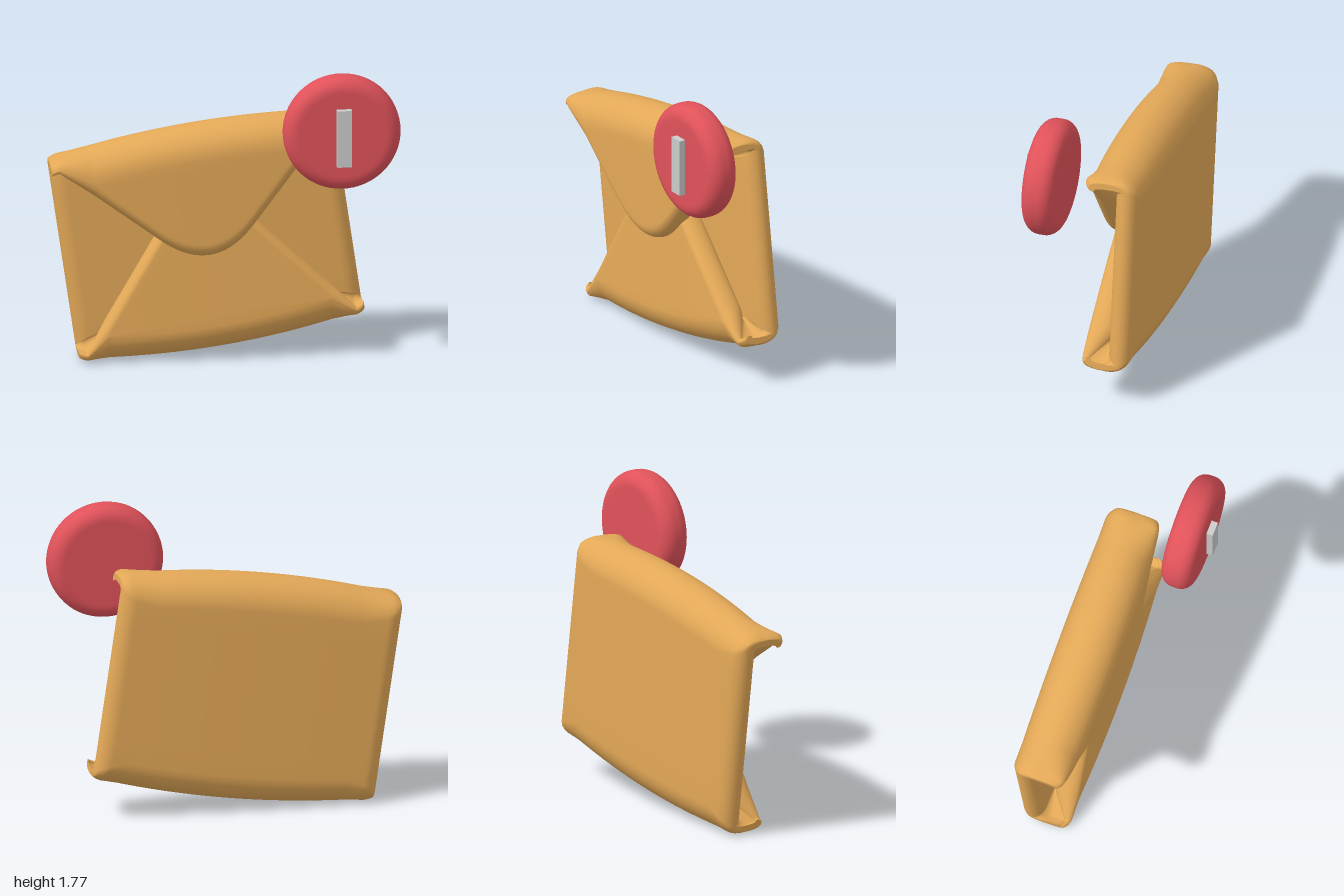
import * as THREE from 'three';

const HALF_W = 0.835, HALF_H = 0.61, Z_BACK = -0.25;

// Flap outline: two straight edges joined by a rounded tip
function flapEdge(u, apex, slope, round) {
  const a = Math.abs(u);
  return a > round ? apex + slope * a : apex + slope * (a * a / (2 * round) + round / 2);
}

// Half of the folded sheet at one width position, from flap tip over the fold to the back panel.
// Each entry is a point on the sheet's middle line with its normal and half thickness.
function foldedHalf({ top, edge, zOut, lean, flapT, backT }) {
  const pts = [];
  const add = (z, v, nz, nv, t) => {
    const l = Math.hypot(nz, nv);
    pts.push({ z, v, nz: nz / l, nv: nv / l, t });
  };
  const H = Math.max(0.06, top - edge);
  const f = Math.min(flapT, H / 3.4);
  const zF = zOut - f, zM = (zF + Z_BACK) / 2, rz = (zF - Z_BACK) / 2;
  const rF = 1.25 * f, rB = Math.max(0.03, 1.25 * backT);
  const apex = top - f, vFold = apex - rF, v0 = top - H + f;
  const zAt = v => zF - lean * (vFold - v);
  // rounded flap tip
  for (let i = 0; i < 7; i++) {
    const p = 0.12 + (Math.PI / 2 - 0.12) * i / 7;
    const v = v0 - f * Math.cos(p);
    add(zAt(v), v, 1, 0, f * Math.sin(p));
  }
  // flat of the flap
  for (let i = 0; i < 8; i++) {
    const v = v0 + (vFold - v0) * i / 8;
    add(zAt(v), v, 1, 0, f);
  }
  // fold: front quarter, then back quarter
  for (let i = 0; i <= 16; i++) {
    const th = Math.PI * i / 16, front = i <= 8;
    const r = front ? rF : rB;
    const t = front ? f : f + (backT - f) * (i - 8) / 8;
    add(zM + rz * Math.cos(th), apex - r + r * Math.sin(th), Math.cos(th) / rz, Math.sin(th) / r, t);
  }
  return pts;
}

// Closed cross-section of the whole sheet at width position u
function section(u) {
  const q = (u / HALF_W) ** 2;
  const e = Math.max(0, (Math.abs(u) - (HALF_W - 0.085)) / 0.085);
  const c = Math.sqrt(Math.max(0, 1 - e * e));
  const top = HALF_H + 0.065 * (1 - q) - 0.015 * (1 - c);
  const backT = Math.max(0.008, (0.08 - 0.012 * q) * c);
  const inset = 0.03 * q + 0.035 * (1 - c);
  const upper = foldedHalf({
    top, backT, flapT: 0.08, lean: -0.02, zOut: 0.032 - inset,
    edge: flapEdge(u, -0.22, 0.98, 0.271),
  });
  const lower = foldedHalf({
    top, backT, flapT: 0.072, lean: 0.075, zOut: 0.002 - inset,
    edge: flapEdge(u, -0.42, 1.24, 0.28),
  }).map(p => ({ ...p, v: -p.v, nv: -p.nv })).reverse();
  const a = upper[upper.length - 1], b = lower[0], mid = [];
  for (let i = 1; i < 8; i++) mid.push({ ...a, v: a.v + (b.v - a.v) * i / 8 });
  const line = [...upper, ...mid, ...lower];
  const offset = s => line.map(p => [u, p.v + s * p.nv * p.t, p.z + s * p.nz * p.t]);
  return [...offset(1), ...offset(-1).reverse()];
}

// Sheet folded into an envelope: cross-sections joined along the width
function envelopeGeometry() {
  const steps = 110, pos = [], idx = [];
  let L = 0;
  for (let j = 0; j <= steps; j++) {
    const ring = section(HALF_W * Math.sin(Math.PI * (j / steps - 0.5)));
    L = ring.length;
    ring.forEach(p => pos.push(...p));
  }
  for (let j = 0; j < steps; j++) {
    for (let i = 0; i < L; i++) {
      const n = (i + 1) % L;
      const a = j * L + i, b = j * L + n, c = a + L, d = b + L;
      idx.push(a, c, d, a, d, b);
    }
  }
  // thin end strips
  const last = steps * L;
  for (let i = 0; i < L / 2 - 1; i++) {
    const o = i, o2 = i + 1, p = L - 1 - i, p2 = L - 2 - i;
    idx.push(o, o2, p, o2, p2, p);
    idx.push(last + o, last + p, last + o2, last + o2, last + p, last + p2);
  }
  const g = new THREE.BufferGeometry();
  g.setAttribute('position', new THREE.Float32BufferAttribute(pos, 3));
  g.setIndex(idx);
  g.computeVertexNormals();
  return g;
}

// Round disc with soft rims, facing +z
function badgeGeometry(R, depth, rim) {
  const pts = [new THREE.Vector2(0, -depth / 2), new THREE.Vector2(R - rim - 0.01, -depth / 2)];
  for (const s of [-1, 1]) {
    for (let i = 0; i <= 8; i++) {
      const a = (s < 0 ? i - 8 : i) / 8 * Math.PI / 2;
      pts.push(new THREE.Vector2(R - rim + rim * Math.cos(a), s * (depth / 2 - rim) + rim * Math.sin(a)));
    }
  }
  pts.push(new THREE.Vector2(R - rim - 0.01, depth / 2), new THREE.Vector2(0, depth / 2));
  return new THREE.LatheGeometry(pts, 64).rotateX(Math.PI / 2);
}

export function createModel() {
  const model = new THREE.Group();
  model.name = 'envelopeWithBadge';
  const add = (name, geometry, color, x, y, z) => {
    const mesh = new THREE.Mesh(geometry, new THREE.MeshStandardMaterial({ color }));
    mesh.name = name;
    mesh.position.set(x, y, z);
    model.add(mesh);
    return mesh;
  };

  // tilted envelope
  add('envelope', envelopeGeometry(), 0xe3a857, -0.0875, 0.7375, 0).rotation.z = 0.145;

  // floating badge with a raised bar
  add('badge', badgeGeometry(0.34, 0.19, 0.08), 0xe0525a, 0.66, 1.44, 0.195);
  add('badgeBar', new THREE.BoxGeometry(0.085, 0.34, 0.05), 0xcccccc, 0.663, 1.43, 0.303);

  return model;
}
